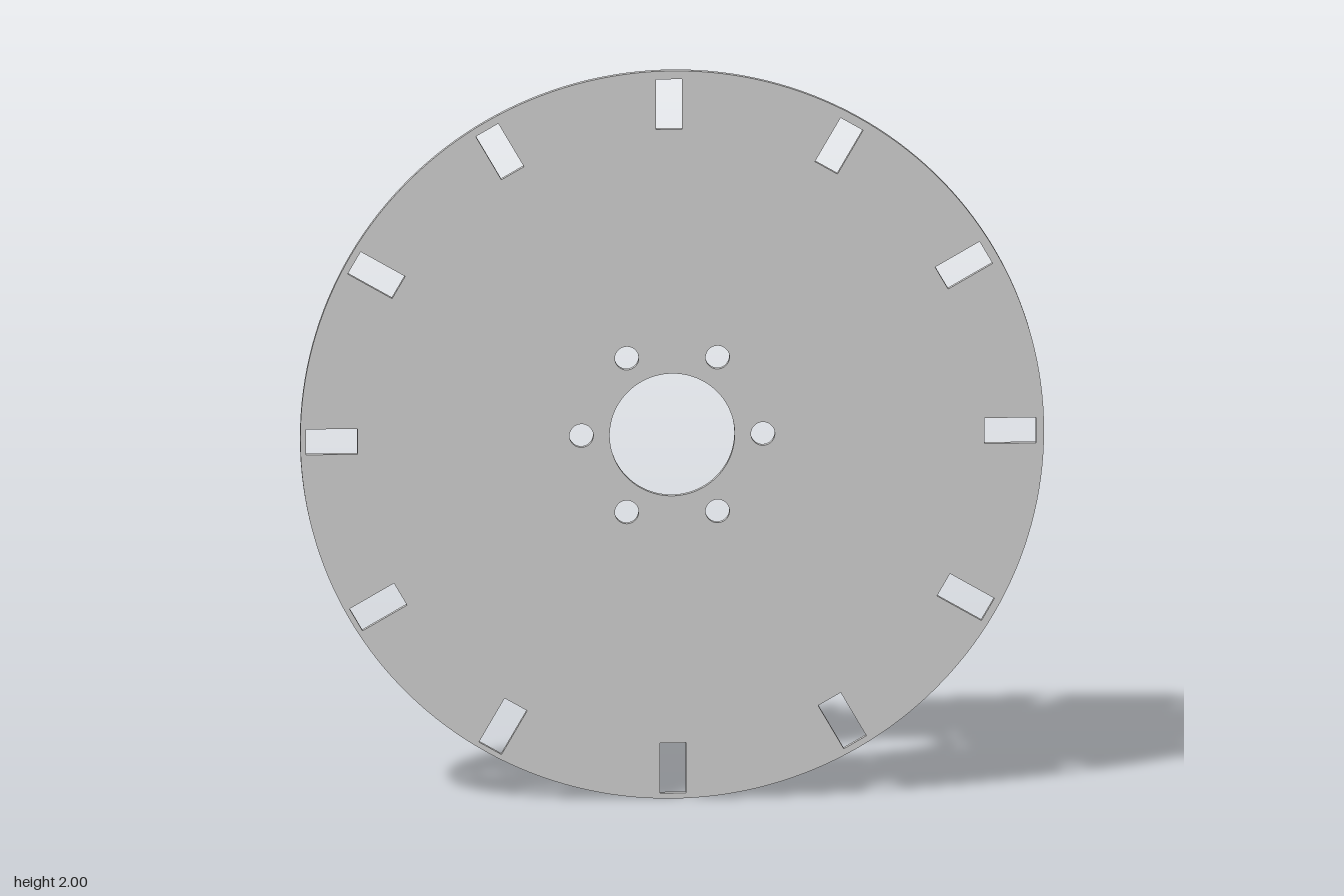
import * as THREE from 'three';

const THICKNESS = 0.018;

function circle(x, y, r) {
  return new THREE.Path().absarc(x, y, r, 0, Math.PI * 2, true);
}

// Rectangular slot, long side pointing outwards, turned by angle a
function slot(a) {
  const cx = -0.003, cy = -0.004, radius = 0.912, shift = 0.005, l = 0.069, w = 0.035;
  const corners = [[-l, -w], [-l, w], [l, w], [l, -w]].map(([u, v]) =>
    new THREE.Vector2(radius + u, shift + v)
      .rotateAround(new THREE.Vector2(), a)
      .add(new THREE.Vector2(cx, cy)));
  const path = new THREE.Path(corners);
  path.closePath();
  return path;
}

export function createModel() {
  const group = new THREE.Group();
  group.name = 'slottedDisc';

  const outline = new THREE.Shape().absarc(0, 0, 1, 0, Math.PI * 2, false);

  // Centre bore and the ring of six bolt holes
  outline.holes.push(circle(0, 0, 0.168));
  for (let i = 0; i < 6; i++) {
    const a = i * Math.PI / 3;
    outline.holes.push(circle(0.244 * Math.cos(a), 0.244 * Math.sin(a), 0.032));
  }

  // Twelve slots near the rim
  for (let i = 0; i < 12; i++) outline.holes.push(slot(i * Math.PI / 6));

  const geometry = new THREE.ExtrudeGeometry(outline, {
    depth: THICKNESS, bevelEnabled: false, curveSegments: 96,
  });
  geometry.translate(0, 1, -THICKNESS / 2);

  const disc = new THREE.Mesh(geometry, new THREE.MeshStandardMaterial({ color: 0xcccccc }));
  disc.name = 'disc';
  group.add(disc);
  return group;
}
